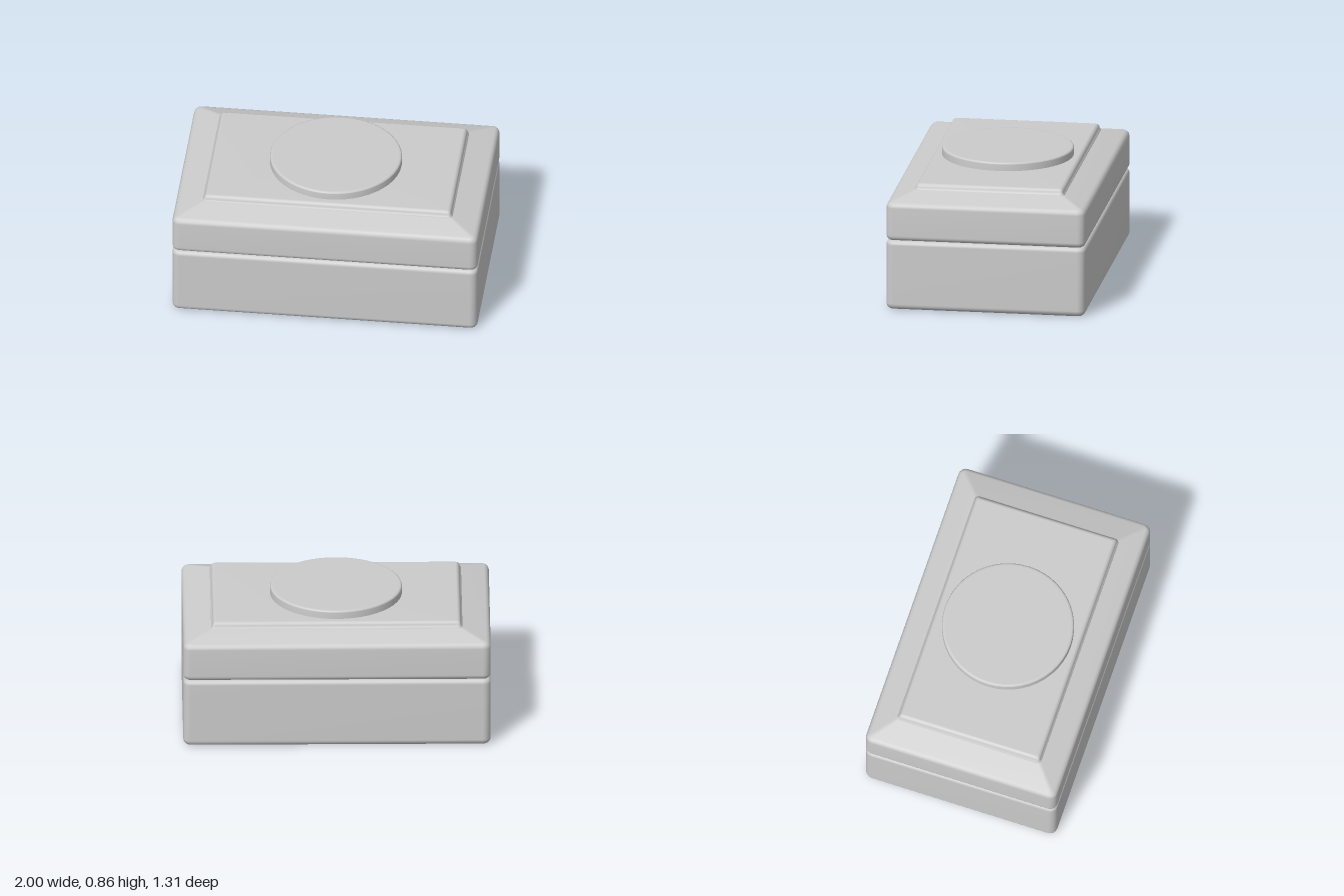
import * as THREE from 'three';

const HALF_X = 1, HALF_Z = 0.655, CORNER_STEPS = 4;

// Closed solid lofted through rounded rectangles; each level is [inset x, inset z, y]
function loft(levels, radius) {
  const pos = [], index = [], n = 4 * (CORNER_STEPS + 1);
  for (const [ix, iz, y] of levels) {
    const r = Math.max(radius - Math.min(ix, iz), 0.015);
    const cx = HALF_X - ix - r, cz = HALF_Z - iz - r;
    for (let q = 0; q < 4; q++) {
      const sx = q === 0 || q === 3 ? 1 : -1, sz = q < 2 ? 1 : -1;
      for (let s = 0; s <= CORNER_STEPS; s++) {
        const t = (q + s / CORNER_STEPS) * Math.PI / 2;
        pos.push(sx * cx + r * Math.cos(t), y, sz * cz + r * Math.sin(t));
      }
    }
  }
  const bottom = levels.length * n, top = bottom + 1, last = (levels.length - 1) * n;
  pos.push(0, levels[0][2], 0, 0, levels[levels.length - 1][2], 0);
  for (let k = 0; k < n; k++) {
    const k1 = (k + 1) % n;
    for (let j = 0; j < last; j += n) {
      index.push(j + k, j + n + k, j + k1, j + k1, j + n + k, j + n + k1);
    }
    index.push(bottom, k, k1, top, last + k1, last + k);
  }
  const g = new THREE.BufferGeometry();
  g.setAttribute('position', new THREE.Float32BufferAttribute(pos, 3));
  g.setIndex(index);
  g.computeVertexNormals();
  return g;
}

// Quarter-round edge levels: dir +1 opens outward from y, -1 closes inward up to y
function roundEdge(y, r, dir, inset = [0, 0]) {
  const out = [];
  for (let i = 0; i <= 4; i++) {
    const t = (dir > 0 ? i : 4 - i) / 4 * Math.PI / 2;
    const d = r * (1 - Math.sin(t));
    out.push([inset[0] + d, inset[1] + d, y + dir * r * (1 - Math.cos(t))]);
  }
  return out;
}

export function createModel() {
  const group = new THREE.Group();
  const material = new THREE.MeshStandardMaterial({ color: 0xcccccc });
  const add = (name, geometry) => {
    const mesh = new THREE.Mesh(geometry, material);
    mesh.name = name;
    group.add(mesh);
  };

  // Lower box with softened edges
  add('base', loft([...roundEdge(0, 0.04, 1), ...roundEdge(0.465, 0.03, -1)], 0.05));

  // Lid with a rounded shoulder and shallow sloping top
  add('lid', loft([
    ...roundEdge(0.465, 0.035, 1),
    [0, 0, 0.685], [0.005, 0.005, 0.702], [0.015, 0.015, 0.714], [0.03, 0.03, 0.722],
    [0.18, 0.16, 0.765], [0.25, 0.23, 0.786],
  ], 0.05));

  // Raised rectangular panel on the lid
  add('raisedPanel', loft([
    [0.18, 0.16, 0.74], [0.18, 0.16, 0.763], [0.187, 0.167, 0.772],
    ...roundEdge(0.806, 0.027, -1, [0.192, 0.172]),
  ], 0.19));

  // Round disc on top
  const profile = [[0.43, 0.79], [0.43, 0.848], [0.427, 0.855], [0.42, 0.86], [0.41, 0.86], [0, 0.86]];
  add('topDisc', new THREE.LatheGeometry(profile.map(p => new THREE.Vector2(...p)), 48));

  return group;
}
